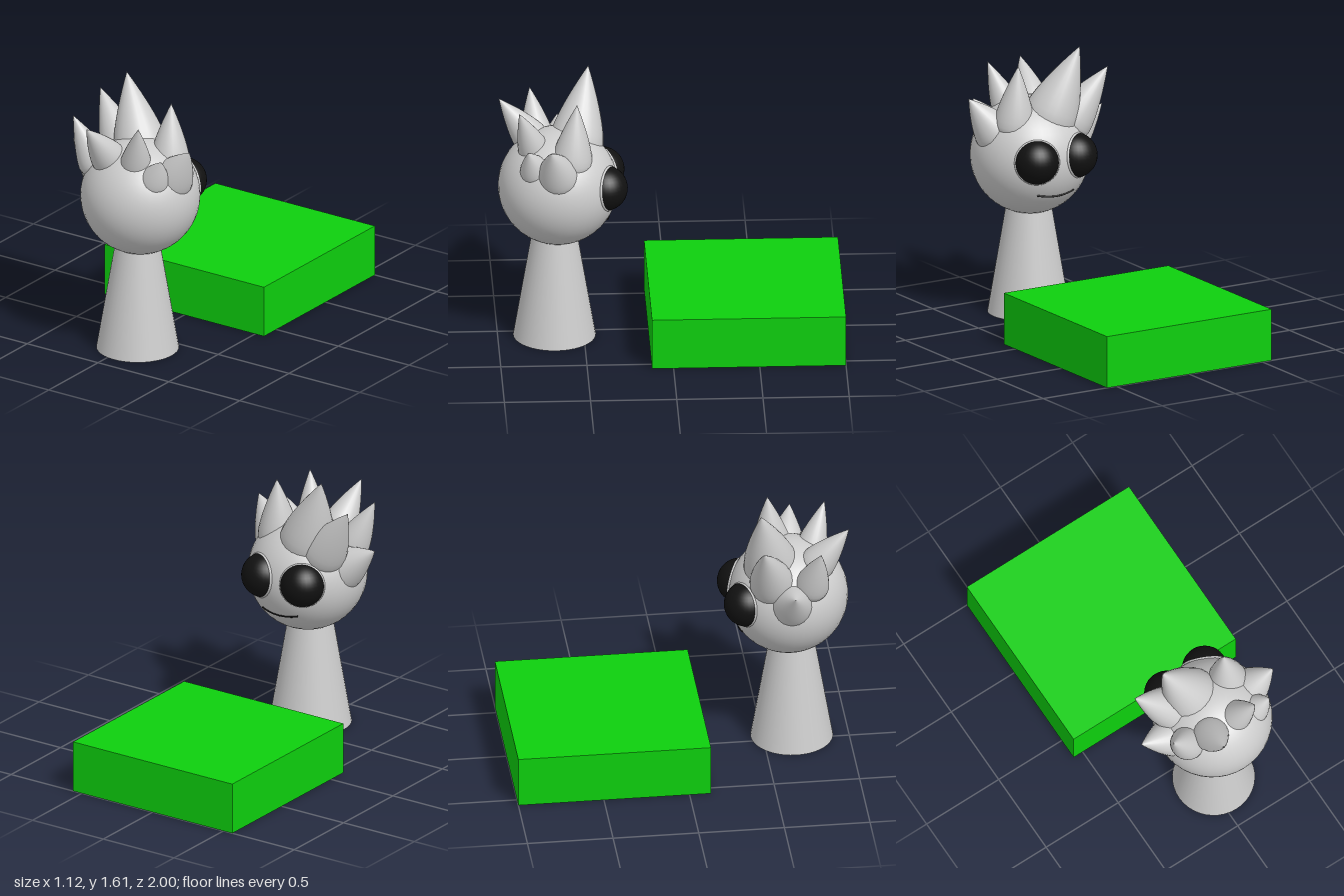
import * as THREE from 'three';

const mat = (name, color) => {
  const m = new THREE.MeshStandardMaterial({ color });
  m.name = name;
  return m;
};

export function createModel() {
  const grey = mat('grey', 0xcdcdcd);
  const black = mat('black', 0x111111);
  const green = mat('green', 0x0dcf0d);
  const model = new THREE.Group();
  model.name = 'model';

  const add = (name, geometry, material, x, y, z, parent = model) => {
    const mesh = new THREE.Mesh(geometry, material);
    mesh.name = name;
    mesh.position.set(x, y, z);
    parent.add(mesh);
    return mesh;
  };

  // Green slab the figure looks towards
  add('slab', new THREE.BoxGeometry(1.125, 0.308, 1.125), green, 0, 0.154, -0.4375);

  // Tapered body and round head
  const head = new THREE.Vector3(0.055, 0.95, 0.65);
  const R = 0.348;
  add('body', new THREE.CylinderGeometry(0.132, 0.24, 0.64, 40), grey, 0.05, 0.32, 0.67);
  add('head', new THREE.SphereGeometry(R, 40, 28), grey, head.x, head.y, head.z);

  // Hair spikes: round bulb drawn out to a point, [bulb centre, tip, radius]
  const spikes = [
    [[-0.02, 1.2, 0.54], [-0.17, 1.605, 0.465], 0.16],
    [[-0.15, 1.15, 0.53], [-0.36, 1.46, 0.46], 0.13],
    [[0.21, 1.17, 0.575], [0.2, 1.52, 0.545], 0.12],
    [[-0.06, 1.21, 0.81], [-0.09, 1.44, 0.988], 0.103],
    [[-0.2, 1.02, 0.64], [-0.43, 1.185, 0.635], 0.13],
    [[0.29, 1.11, 0.66], [0.44, 1.322, 0.705], 0.122],
    [[0.25, 1.13, 0.79], [0.33, 1.28, 0.833], 0.09],
    [[-0.19, 1.14, 0.76], [-0.315, 1.41, 0.8], 0.1],
    [[0.12, 1.2, 0.79], [0.2, 1.47, 0.88], 0.093],
  ];
  const hair = new THREE.Group();
  hair.name = 'hair';
  model.add(hair);
  const up = new THREE.Vector3(0, 1, 0);
  for (const [base, tip, r] of spikes) {
    const axis = new THREE.Vector3(...tip).sub(new THREE.Vector3(...base));
    const length = axis.length();
    const profile = [];
    for (let i = 0; i < 8; i++) {
      const a = (i / 8) * Math.PI / 2;
      profile.push(new THREE.Vector2(r * Math.sin(a), -r * Math.cos(a)));
    }
    for (let i = 0; i <= 10; i++) {
      const u = i / 10;
      profile.push(new THREE.Vector2(r * (1 - u ** 1.35), length * u));
    }
    const spike = add('hairSpike', new THREE.LatheGeometry(profile, 24), grey, ...base, hair);
    spike.quaternion.setFromUnitVectors(up, axis.normalize());
  }

  // Bulging black eyes, each with a thin grey rim where it meets the head
  for (const [name, x, z] of [['rightEye', -0.09, 0.39], ['leftEye', 0.178, 0.382]]) {
    const eye = new THREE.Group();
    eye.name = name;
    model.add(eye);
    add('eyeball', new THREE.SphereGeometry(0.132, 32, 20), black, x, 0.98, z, eye);
    const dir = new THREE.Vector3(x, 0.98, z).sub(head).normalize();
    const p = dir.clone().multiplyScalar(R - 0.024).add(head);
    const rim = add('eyeRim', new THREE.TorusGeometry(0.124, 0.01, 8, 40), grey, p.x, p.y, p.z, eye);
    rim.quaternion.setFromUnitVectors(new THREE.Vector3(0, 0, 1), dir);
  }

  // Thin, slightly smiling mouth following the head
  const mouth = [];
  for (let i = 0; i <= 8; i++) {
    const t = i / 4 - 1;
    const dx = 0.125 * t;
    const dy = -0.187 + 0.016 * t * t;
    const dz = -Math.sqrt(R * R - dx * dx - dy * dy);
    mouth.push(new THREE.Vector3(dx, dy, dz).add(head));
  }
  add('mouth', new THREE.TubeGeometry(new THREE.CatmullRomCurve3(mouth), 24, 0.006, 6), black, 0, 0, 0);

  return model;
}
